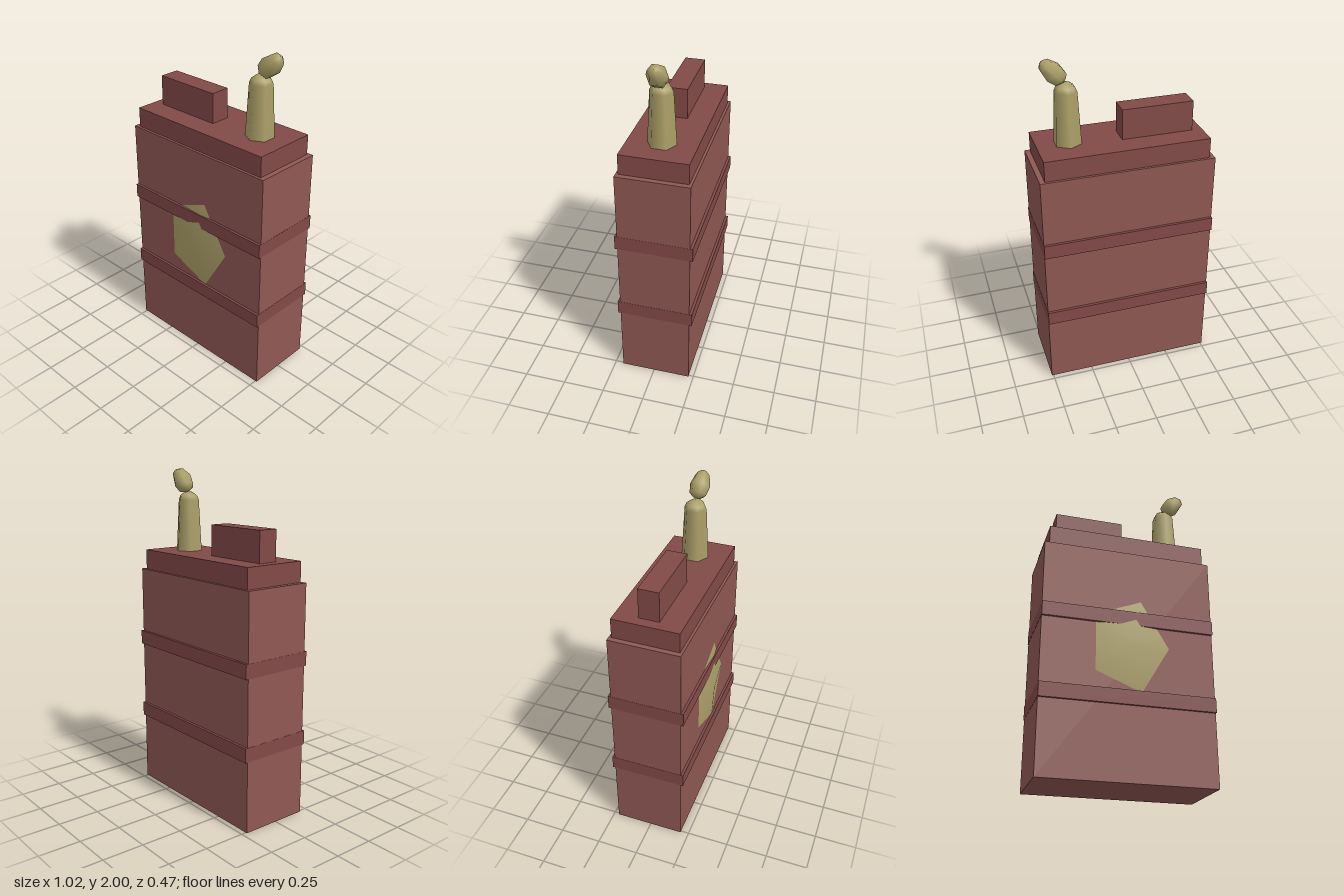
import * as THREE from 'three';
import { mergeVertices } from 'three/addons/utils/BufferGeometryUtils.js';

const bodyMat = new THREE.MeshStandardMaterial({ color: 0x8f5853 });
const trimMat = new THREE.MeshStandardMaterial({ color: 0x824a48 });
const brassMat = new THREE.MeshStandardMaterial({ color: 0xaca068 });

// Box given by its minimum and maximum corners
function box(name, [x0, y0, z0], [x1, y1, z1], material) {
  const mesh = new THREE.Mesh(new THREE.BoxGeometry(x1 - x0, y1 - y0, z1 - z0), material);
  mesh.name = name;
  mesh.position.set((x0 + x1) / 2, (y0 + y1) / 2, (z0 + z1) / 2);
  return mesh;
}

// Six-sided smooth turned part from [radius, height] pairs
function turned(name, profile) {
  const points = profile.map(([r, y]) => new THREE.Vector2(r, y));
  const mesh = new THREE.Mesh(new THREE.LatheGeometry(points, 6), brassMat);
  mesh.name = name;
  return mesh;
}

export function createModel() {
  const model = new THREE.Group();
  model.name = 'canister';

  // Stacked body, cap and grip
  model.add(box('body', [-0.51, 0, -0.22], [0.51, 1.39, 0.2], bodyMat));
  model.add(box('cap', [-0.48, 1.39, -0.205], [0.48, 1.51, 0.185], trimMat));
  model.add(box('grip', [-0.42, 1.51, -0.07], [0, 1.69, 0.05], trimMat));

  // Two bands around the body
  [['lowerBand', 0.43], ['upperBand', 0.91]].forEach(([name, y]) => {
    model.add(box(name, [-0.511, y, -0.236], [0.511, y + 0.085, 0.215], trimMat));
  });

  // Shallow five-sided boss on the front, stretched upright
  let cone = new THREE.ConeGeometry(1, 1, 5, 1, true, Math.PI / 2);
  cone.translate(0, 0.5, 0).rotateX(Math.PI / 2).scale(0.24, 0.295, 0.034);
  cone.deleteAttribute('normal');
  cone.deleteAttribute('uv');
  cone = mergeVertices(cone);
  cone.computeVertexNormals();
  const boss = new THREE.Mesh(cone, brassMat);
  boss.name = 'frontBoss';
  boss.position.set(0, 0.79, 0.2);
  model.add(boss);

  // Tapered spout with a rounded top
  const spout = turned('spout', [[0.083, 0], [0.066, 0.31], [0.055, 0.335], [0.028, 0.355], [0, 0.36]]);
  spout.position.set(0.3, 1.505, -0.008);
  model.add(spout);

  // Tilted bulb on top of the spout
  const bulb = turned('spoutTip', [[0, -0.078], [0.02, -0.076], [0.049, -0.055], [0.06, 0], [0.04, 0.064], [0.015, 0.085], [0, 0.087]]);
  bulb.position.set(0.364, 1.926, -0.005);
  bulb.rotation.z = -Math.PI / 4;
  model.add(bulb);

  return model;
}
